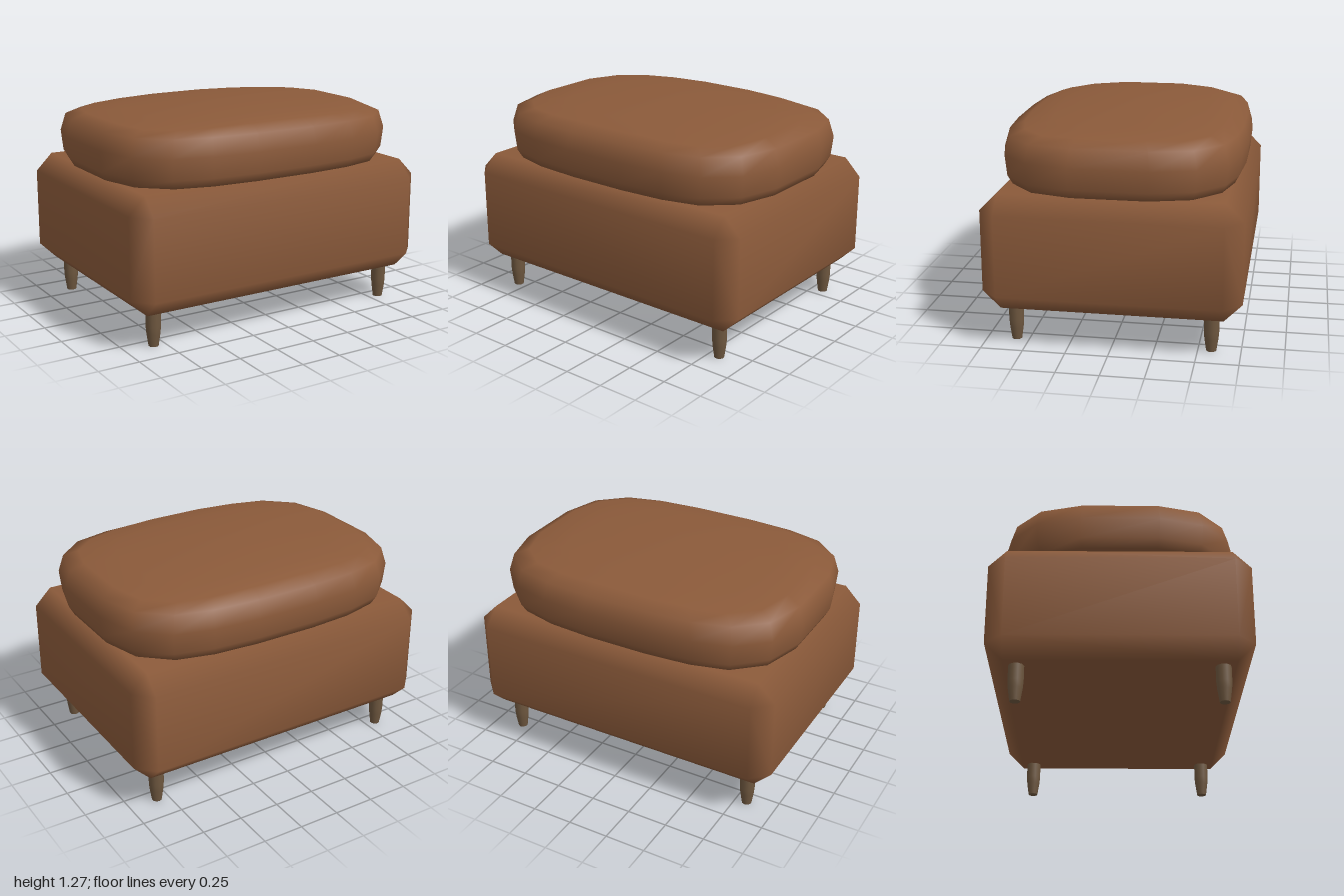
import * as THREE from 'three';
import { mergeVertices } from 'three/addons/utils/BufferGeometryUtils.js';
import { ConvexGeometry } from 'three/addons/geometries/ConvexGeometry.js';

// Weld a geometry so its normals run smoothly over every edge
function smooth(geometry) {
  geometry.deleteAttribute('normal');
  geometry.deleteAttribute('uv');
  const welded = mergeVertices(geometry, 1e-4);
  welded.computeVertexNormals();
  return welded;
}

// Box with a single chamfer on all edges
function chamferedBox(w, h, d, c) {
  const points = [];
  for (const x of [-1, 1]) for (const y of [-1, 1]) for (const z of [-1, 1]) {
    const X = w / 2, Y = h / 2, Z = d / 2;
    points.push(
      new THREE.Vector3(x * X, y * (Y - c), z * (Z - c)),
      new THREE.Vector3(x * (X - c), y * Y, z * (Z - c)),
      new THREE.Vector3(x * (X - c), y * (Y - c), z * Z));
  }
  return smooth(new ConvexGeometry(points));
}

// Pillow with a rounded plan outline, bulging sides and a domed top
function cushionGeometry() {
  const halfX = 0.967, halfZ = 0.727;
  const quarter = [[0.965, 0.23], [0.895, 0.485], [0.72, 0.645], [0.49, 0.705], [0.2, 0.727]];
  const flip = (pts, sx, sz) => pts.map(([x, z]) => [x * sx, z * sz]);
  const reversed = [...quarter].reverse();
  const outline = [...quarter, ...flip(reversed, -1, 1), ...flip(quarter, -1, -1), ...flip(reversed, 1, -1)];
  const n = outline.length;

  const positions = [], index = [];
  let rings = 0;
  const addRing = (sx, sz, height) => {
    for (const [x, z] of outline) positions.push(x * sx, height(x * sx, z * sz), z * sz);
    rings++;
  };
  const dome = (x, z) => 1.274 - 0.035 * ((x / 0.85) ** 2 + (z / 0.61) ** 2);

  addRing(0, 0, () => 0.912);
  // Sides: inset from the widest outline, height
  for (const [inset, y] of [[0.04, 0.912], [0.012, 0.965], [0, 1.09], [0.03, 1.195]]) {
    addRing(1 - inset / halfX, 1 - inset / halfZ, () => y);
  }
  // Domed top
  for (const s of [1, 0.75, 0.5, 0.25, 0]) {
    addRing(s * (1 - 0.115 / halfX), s * (1 - 0.115 / halfZ), dome);
  }

  for (let r = 0; r < rings - 1; r++) {
    for (let i = 0; i < n; i++) {
      const a = r * n + i, b = r * n + (i + 1) % n;
      index.push(a, a + n, b, b, a + n, b + n);
    }
  }
  const geometry = new THREE.BufferGeometry();
  geometry.setAttribute('position', new THREE.Float32BufferAttribute(positions, 3));
  geometry.setIndex(index);
  return smooth(geometry);
}

export function createModel() {
  const model = new THREE.Group();
  model.name = 'ottoman';
  const leather = new THREE.MeshStandardMaterial({ color: 0x8b5a3a });
  const wood = new THREE.MeshStandardMaterial({ color: 0x6e573f });
  const add = (name, geometry, material) => {
    const mesh = new THREE.Mesh(geometry, material);
    mesh.name = name;
    model.add(mesh);
    return mesh;
  };

  // Upholstered body
  add('base', chamferedBox(2, 0.695, 1.51, 0.105), leather).position.y = 0.5625;

  // Seat cushion
  add('cushion', cushionGeometry(), leather);

  // Tapered legs
  const profile = [[0, 0], [0.03, 0], [0.03, 0.001], [0.041, 0.075], [0.045, 0.12], [0.045, 0.25]]
    .map(([r, y]) => new THREE.Vector2(r, y));
  const legGeometry = new THREE.LatheGeometry(profile, 10);
  for (const [side, x] of [['Left', 0.82], ['Right', -0.82]]) {
    for (const [end, z] of [['front', 0.577], ['back', -0.577]]) {
      add(`${end}${side}Leg`, legGeometry, wood).position.set(x, 0, z);
    }
  }
  return model;
}
